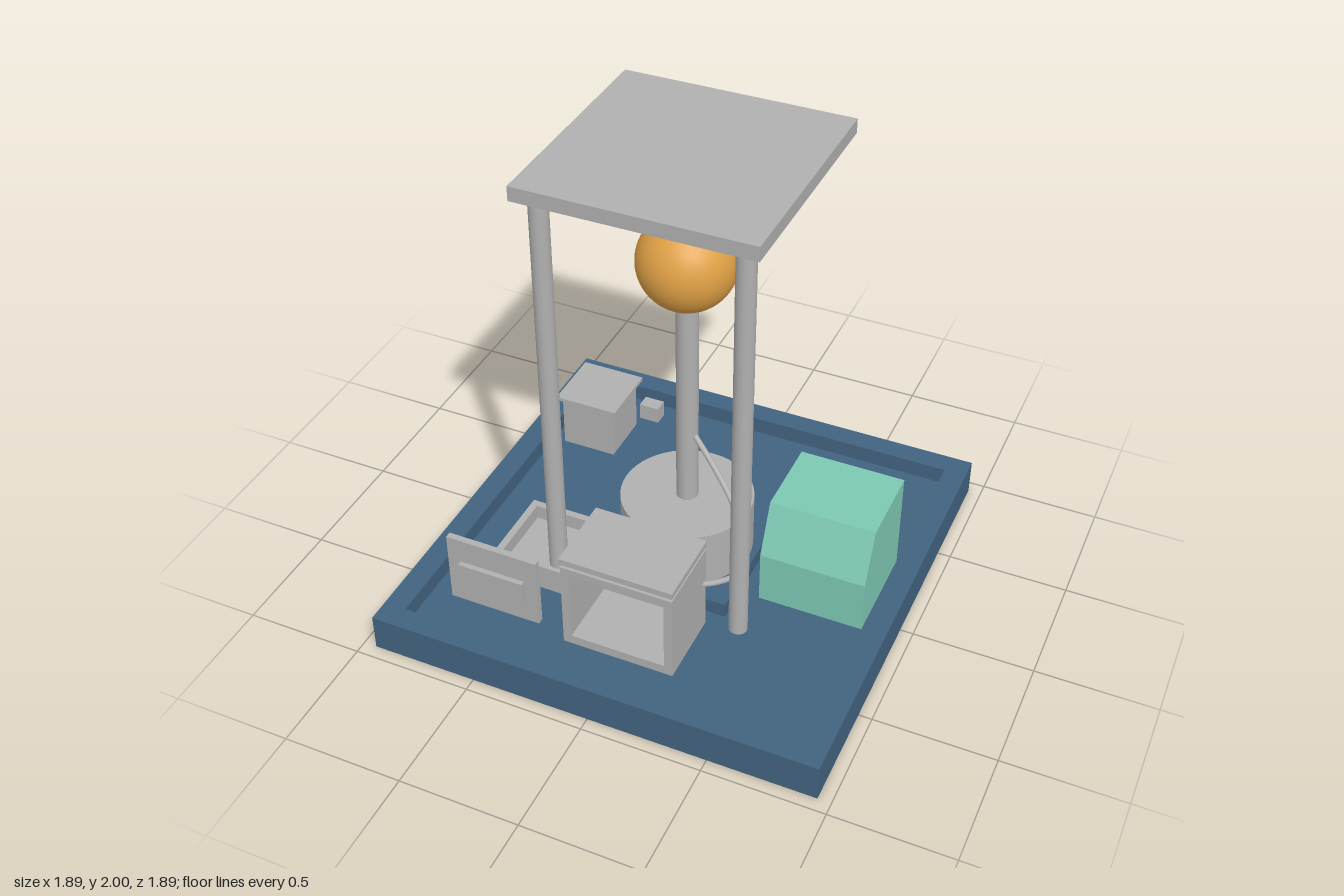
import * as THREE from 'three';

const mat = (name, color) => Object.assign(new THREE.MeshStandardMaterial({ color }), { name });

export function createModel() {
  const grey = mat('grey', 0xb0b0b0);
  const blue = mat('blue', 0x41637f);
  const green = mat('mint', 0x7dc8b3);
  const orange = mat('orange', 0xdfa045);
  const model = new THREE.Group();

  const add = (parent, name, geometry, material) => {
    const mesh = new THREE.Mesh(geometry, material);
    mesh.name = name;
    parent.add(mesh);
    return mesh;
  };
  const group = (name) => {
    const g = new THREE.Group();
    g.name = name;
    model.add(g);
    return g;
  };
  // box given by its lower and upper limits on each axis
  const box = (parent, name, material, [x0, x1], [y0, y1], [z0, z1]) =>
    add(parent, name, new THREE.BoxGeometry(x1 - x0, y1 - y0, z1 - z0), material)
      .position.set((x0 + x1) / 2, (y0 + y1) / 2, (z0 + z1) / 2);
  const cylinder = (parent, name, r, y0, y1, x = 0, z = 0) =>
    add(parent, name, new THREE.CylinderGeometry(r, r, y1 - y0, 48), grey)
      .position.set(x, (y0 + y1) / 2, z);
  // rectangular ring in the xy plane, extruded along z
  const frame = (x0, x1, y0, y1, hx0, hx1, hy0, hy1, depth) => {
    const rect = (C, a, b, c, d) => new C([[a, c], [b, c], [b, d], [a, d]].map((p) => new THREE.Vector2(...p)));
    const shape = rect(THREE.Shape, x0, x1, y0, y1);
    shape.holes.push(rect(THREE.Path, hx0, hx1, hy0, hy1));
    return new THREE.ExtrudeGeometry(shape, { depth, bevelEnabled: false });
  };

  // base with sunken floor
  const floor = 0.085, top = 0.16, B = 0.945, R = 0.85;
  const base = group('base');
  box(base, 'baseFloor', blue, [-B, B], [0, floor], [-B, B]);
  const rim = add(base, 'baseRim', frame(-B, B, -B, B, -R, R, -R, R, top - floor), blue);
  rim.rotation.x = -Math.PI / 2;
  rim.position.y = floor;
  box(base, 'drumSlab', blue, [-0.3, 0.3], [floor, 0.15], [-0.3, 0.3]);

  // central drum, column and ball
  const tower = group('tower');
  cylinder(tower, 'drum', 0.275, 0.15, 0.4);
  cylinder(tower, 'column', 0.045, 0.4, 1.35);
  add(tower, 'ball', new THREE.SphereGeometry(0.197, 48, 32), orange).position.y = 1.537;

  // canopy on two posts
  const canopy = group('canopy');
  box(canopy, 'roof', grey, [-0.472, 0.472], [1.94, 2], [-0.472, 0.472]);
  for (const x of [-0.395, 0.395]) cylinder(canopy, 'post', 0.038, 0.15, 1.94, x, 0.395);

  // cabinet with open front and lid
  const cabinet = group('cabinet');
  const shell = add(cabinet, 'cabinetShell', frame(-0.195, 0.27, top, 0.55, -0.16, 0.235, 0.2, 0.52, 0.285), grey);
  shell.position.z = 0.46;
  box(cabinet, 'cabinetBack', grey, [-0.195, 0.27], [top, 0.55], [0.43, 0.46]);
  box(cabinet, 'lidNeck', grey, [-0.18, 0.255], [0.55, 0.568], [0.445, 0.73]);
  box(cabinet, 'lid', grey, [-0.197, 0.273], [0.568, 0.595], [0.43, 0.75]);

  // console with sloped front, profile drawn in z and y
  const profile = new THREE.Shape([[-0.215, top], [0.215, top], [0.215, 0.39], [0.125, 0.595], [-0.215, 0.595]]
    .map(([z, y]) => new THREE.Vector2(-z, y)));
  const consoleMesh = add(model, 'console', new THREE.ExtrudeGeometry(profile, { depth: 0.435, bevelEnabled: false }), green);
  consoleMesh.rotation.y = Math.PI / 2;
  consoleMesh.position.x = 0.41;

  // hose from column to cabinet
  const path = new THREE.CatmullRomCurve3([
    [0.04, 0.725, 0.015], [0.13, 0.63, 0.045], [0.25, 0.49, 0.1], [0.34, 0.372, 0.19],
    [0.35, 0.345, 0.3], [0.31, 0.362, 0.39], [0.24, 0.395, 0.48],
  ].map((p) => new THREE.Vector3(...p)));
  add(model, 'hose', new THREE.TubeGeometry(path, 40, 0.012, 12), grey);

  // shallow tray beneath the post
  const tray = group('tray');
  box(tray, 'trayFloor', grey, [-0.67, -0.19], [floor, 0.135], [0.095, 0.45]);
  const wall = add(tray, 'trayWall', frame(-0.67, -0.19, -0.45, -0.095, -0.64, -0.22, -0.42, -0.125, 0.065), grey);
  wall.rotation.x = -Math.PI / 2;
  wall.position.y = 0.135;

  // upright panel with raised plate
  const panel = group('panel');
  box(panel, 'panelBoard', grey, [-0.71, -0.318], [0.176, 0.49], [0.69, 0.717]);
  box(panel, 'panelPlate', grey, [-0.655, -0.373], [0.285, 0.38], [0.717, 0.738]);

  // pedestal and small block
  const pedestal = group('pedestal');
  box(pedestal, 'pedestalBody', grey, [-0.755, -0.515], [top, 0.4], [-0.592, -0.355]);
  box(pedestal, 'pedestalTop', grey, [-0.775, -0.493], [0.398, 0.414], [-0.615, -0.335]);
  box(model, 'smallBlock', grey, [-0.52, -0.43], [top, 0.236], [-0.703, -0.64]);

  return model;
}
